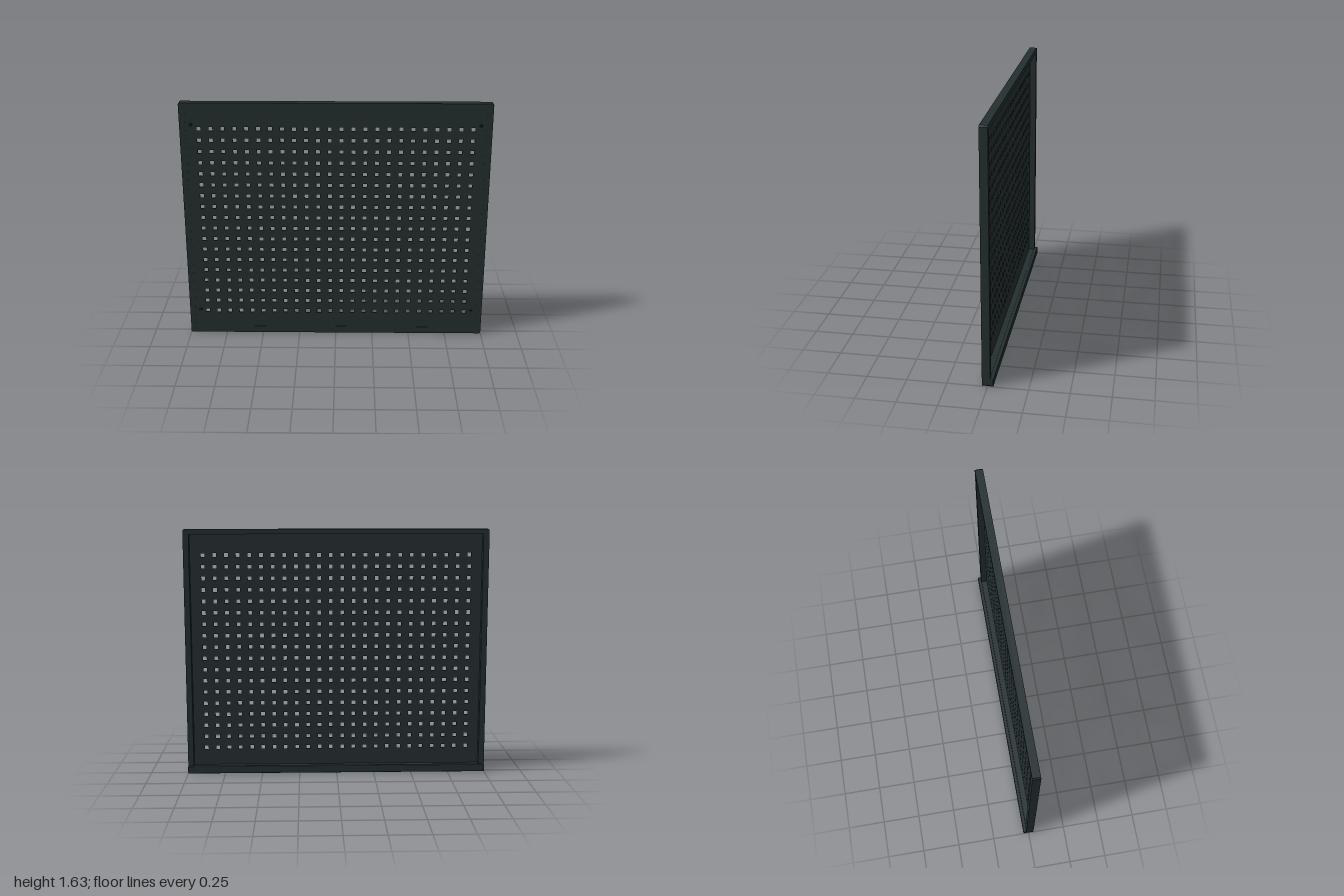
import * as THREE from 'three';
import { RoundedBoxGeometry } from 'three/addons/geometries/RoundedBoxGeometry.js';

const HEIGHT = 1.635, FRONT = 0.034, BACK = -0.017;

// Closed rectangular path, with optionally chamfered corners
function rect(target, x0, y0, x1, y1, c = 0) {
  const pts = c
    ? [[x0 + c, y0], [x1 - c, y0], [x1, y0 + c], [x1, y1 - c], [x1 - c, y1], [x0 + c, y1], [x0, y1 - c], [x0, y0 + c]]
    : [[x0, y0], [x1, y0], [x1, y1], [x0, y1]];
  target.setFromPoints(pts.map(([x, y]) => new THREE.Vector2(x, y)));
  return target;
}

function extrude(shape, zBack, zFront) {
  const geo = new THREE.ExtrudeGeometry(shape, { depth: zFront - zBack, bevelEnabled: false });
  geo.translate(0, 0, zBack);
  return geo;
}

export function createModel() {
  const model = new THREE.Group();
  model.name = 'perforatedPanel';
  const steel = new THREE.MeshStandardMaterial({ color: 0x242f30 });
  steel.name = 'dark steel';
  const screwMetal = new THREE.MeshStandardMaterial({ color: 0x171d1e });
  screwMetal.name = 'screw black';

  const add = (name, geo, mat, x = 0, y = 0, z = 0) => {
    const mesh = new THREE.Mesh(geo, mat);
    mesh.name = name;
    mesh.position.set(x, y, z);
    model.add(mesh);
    return mesh;
  };

  // Deep rim around the sheet
  const rim = rect(new THREE.Shape(), -1, 0, 1, HEIGHT, 0.008);
  rim.holes.push(rect(new THREE.Path(), -0.962, 0.048, 0.962, 1.602));
  add('frame', extrude(rim, BACK, FRONT), steel);

  // Thin sheet at the front with a grid of square holes
  const sheet = rect(new THREE.Shape(), -0.962, 0.048, 0.962, 1.602);
  const cols = 24, rows = 18, pitch = 0.0763, half = 0.0125;
  for (let r = 0; r < rows; r++) {
    for (let c = 0; c < cols; c++) {
      const x = (c - (cols - 1) / 2) * pitch;
      const y = 0.167 + r * pitch;
      sheet.holes.push(rect(new THREE.Path(), x - half, y - half, x + half, y + half));
    }
  }
  add('perforatedSheet', extrude(sheet, FRONT - 0.008, FRONT - 0.001), steel);

  // Lip along the bottom of the back
  add('backLip', new RoundedBoxGeometry(2, 0.05, 0.024, 2, 0.005), steel, 0, 0.027, -0.025);

  // Screw heads in the corners of the sheet
  const head = new THREE.CylinderGeometry(0.008, 0.011, 0.005, 12).rotateX(Math.PI / 2);
  for (const x of [-0.926, 0.926]) {
    for (const y of [0.175, 1.492]) add('screw', head, screwMetal, x, y, FRONT + 0.0005);
  }
  return model;
}
